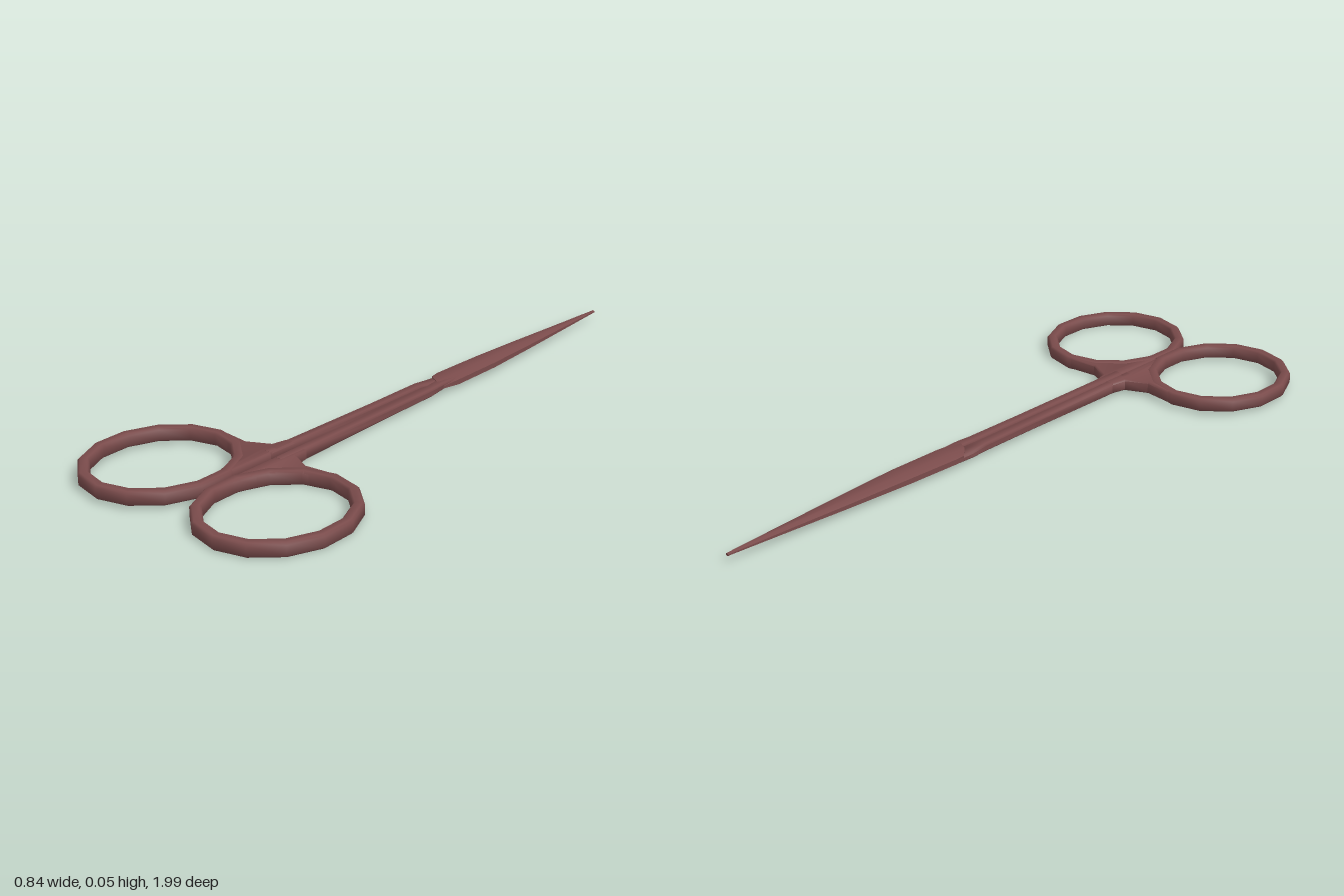
import * as THREE from 'three';
import { toCreasedNormals } from 'three/addons/utils/BufferGeometryUtils.js';

const material = new THREE.MeshStandardMaterial({ color: 0x7a4b4b });
const MID = 0.0253; // height of the plane where the two halves meet
const DROP = -0.0045; // each handle sits slightly off that plane

// Skin a list of cross-sections (arrays of [x, y, z]); closed joins last to first
function loft(sections, closed = false) {
  const n = sections[0].length, m = sections.length, index = [];
  for (let i = 0; i < (closed ? m : m - 1); i++) {
    for (let j = 0; j < n; j++) {
      const k = (j + 1) % n, i2 = (i + 1) % m;
      const a = i * n + j, b = i * n + k, c = i2 * n + k, d = i2 * n + j;
      index.push(a, b, c, a, c, d);
    }
  }
  if (!closed) {
    const e = (m - 1) * n;
    for (let j = 1; j < n - 1; j++) index.push(0, j + 1, j, e, e + j, e + j + 1);
  }
  const geo = new THREE.BufferGeometry();
  geo.setAttribute('position', new THREE.Float32BufferAttribute(sections.flat(2), 3));
  geo.setIndex(index);
  return geo;
}

// Rectangle with chamfered corners, half sizes w and h
function chamfered(w, h, c) {
  return [[-w, c - h], [-w, h - c], [c - w, h], [w - c, h],
    [w, h - c], [w, c - h], [w - c, -h], [c - w, -h]];
}

function addPart(group, name, geo, crease = 0.7) {
  const mesh = new THREE.Mesh(toCreasedNormals(geo, crease), material);
  mesh.name = name;
  group.add(mesh);
}

// Fourteen-sided oval finger loop
function fingerLoop() {
  const sides = 14, sections = [];
  for (let i = 0; i < sides; i++) {
    const a = (i + 0.5) / sides * Math.PI * 2;
    sections.push(chamfered(0.016, 0.0205, 0.006).map(([r, y]) => [
      0.212 + (0.199 + r) * Math.cos(a),
      DROP + y,
      0.758 - (0.219 + r) * Math.sin(a),
    ]));
  }
  return loft(sections, true);
}

// Web that blends the shank into the loop
function web() {
  const outline = [[0.006, 0.455], [0.037, 0.455], [0.046, 0.503], [0.11, 0.536], [0.2, 0.526],
    [0.2, 0.556], [0.125, 0.578], [0.064, 0.638], [0.036, 0.715], [0.028, 0.8], [0.006, 0.8]];
  const shape = new THREE.Shape(outline.map(([x, z]) => new THREE.Vector2(x, -z)));
  const bevel = 0.005, h = 0.019;
  const geo = new THREE.ExtrudeGeometry(shape, {
    depth: 2 * (h - bevel), bevelEnabled: true, bevelSegments: 1,
    bevelSize: bevel, bevelThickness: bevel, bevelOffset: -bevel,
  });
  geo.translate(0, 0, bevel - h).rotateX(-Math.PI / 2).translate(0, DROP, 0);
  // thin the web towards the shank
  const p = geo.attributes.position;
  for (let i = 0; i < p.count; i++) {
    const t = THREE.MathUtils.smoothstep(p.getZ(i), 0.43, 0.55);
    p.setY(i, DROP + (p.getY(i) - DROP) * (0.88 + 0.12 * t));
  }
  return geo;
}

// Long straight shank: z, inner x, outer x, centre y, half height
function shank() {
  const stations = [
    [0.55, 0.006, 0.037, -0.0045, 0.018],
    [0.4, 0.006, 0.037, -0.003, 0.0165],
    [0.1, 0.005, 0.037, -0.001, 0.013],
    [-0.1, 0.004, 0.038, 0, 0.012],
    [-0.15, 0.002, 0.038, 0.004, 0.0105],
    [-0.24, 0.002, 0.036, 0.007, 0.006],
  ];
  return loft(stations.map(([z, x0, x1, yc, h]) =>
    chamfered((x1 - x0) / 2, h, 0.005).map(([x, y]) => [(x0 + x1) / 2 + x, yc + y, z])));
}

// Tapered blade, flat inside and ridged outside: z, left x, right x, thickness
function blade(side) {
  const stations = [
    [-0.15, -0.037, 0.039, 0.0145],
    [-0.22, -0.04, 0.043, 0.0175],
    [-0.4, -0.033, 0.044, 0.0175],
    [-0.6, -0.022, 0.035, 0.0135],
    [-0.8, -0.009, 0.024, 0.009],
    [-1, 0.003, 0.013, 0.004],
  ];
  return loft(stations.map(([z, l, r, h], i) => {
    const [x0, x1] = side > 0 ? [l, r] : [-r, -l];
    const at = t => x0 + (x1 - x0) * t;
    const points = [[x0, 0], [x0, h * 0.45], [at(0.3), h], [at(0.7), h], [x1, h * 0.45], [x1, 0]];
    // slanted shoulder where the blade crosses the other shank
    return points.map(([x, y]) => [x, y, z + (i === 0 ? Math.min(0, x) * 1.1 : 0)]);
  }));
}

function half(side) {
  const group = new THREE.Group();
  group.name = side > 0 ? 'leftHalf' : 'rightHalf';
  addPart(group, 'fingerLoop', fingerLoop(), 0.9);
  addPart(group, 'web', web(), 0.9);
  addPart(group, 'shank', shank(), 0.9);
  addPart(group, 'blade', blade(side), 0.7);
  group.position.y = MID;
  if (side < 0) group.rotation.z = Math.PI; // same half turned over
  return group;
}

export function createModel() {
  const model = new THREE.Group();
  model.name = 'scissors';
  model.add(half(1), half(-1));
  return model;
}
